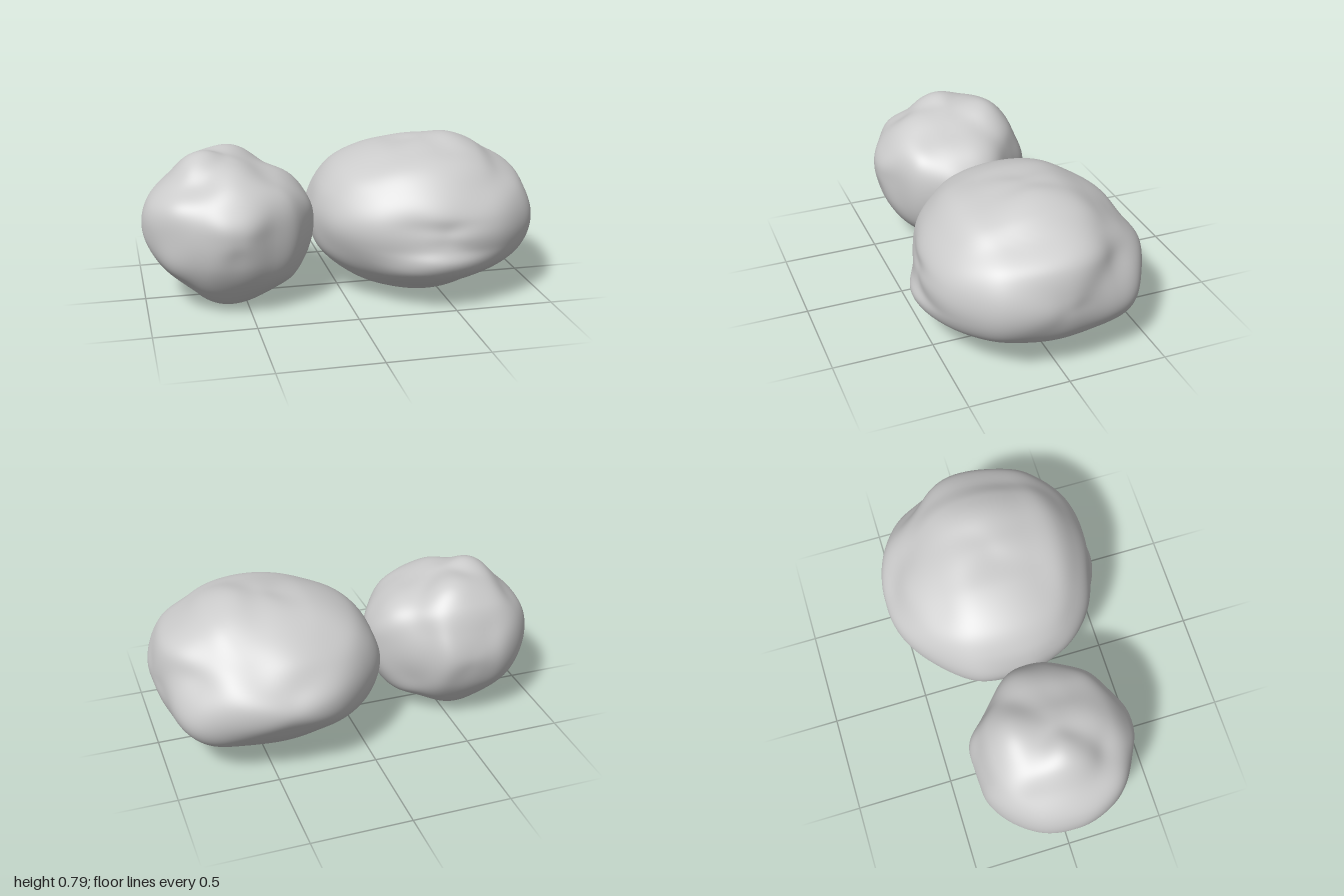
import * as THREE from 'three';
import { mergeVertices } from 'three/addons/utils/BufferGeometryUtils.js';

const STEPS = 180;

// Closed outline -> function giving its radius (relative to the ellipsoid) at any angle.
function radiusByAngle(points, cu, cv, ru, rv) {
  const curve = new THREE.CatmullRomCurve3(
    points.map(([u, v]) => new THREE.Vector3((u - cu) / ru, (v - cv) / rv, 0)), true);
  const polar = curve.getPoints(300).slice(0, -1)
    .map(p => [Math.atan2(p.y, p.x), Math.hypot(p.x, p.y)])
    .sort((a, b) => a[0] - b[0]);
  const first = polar[0], last = polar[polar.length - 1];
  polar.unshift([last[0] - 2 * Math.PI, last[1]]);
  polar.push([first[0] + 2 * Math.PI, first[1]]);
  const table = [];
  for (let i = 0, k = 0; i <= STEPS; i++) {
    const a = -Math.PI + (i / STEPS) * 2 * Math.PI;
    while (k < polar.length - 2 && polar[k + 1][0] < a) k++;
    const [a0, r0] = polar[k], [a1, r1] = polar[k + 1];
    table.push(r0 + (r1 - r0) * (a - a0) / Math.max(a1 - a0, 1e-6));
  }
  return (u, v) => {
    const t = (Math.atan2(v, u) / (2 * Math.PI) + 0.5) * STEPS;
    const i = Math.min(Math.floor(t), STEPS - 1);
    return table[i] + (table[i + 1] - table[i]) * (t - i);
  };
}

// Weight of an outline: full in its own plane, zero at the pole facing it.
const weight = (a, b) => (a * a * b * b + 0.012) * (a * a + b * b) ** 3;

// Rocky lobe: an ellipsoid shaped by three outlines, with extra bumps and dents.
function lobe(name, { centre: c, radii: r, front, side, top, bumps }, material) {
  const fFront = radiusByAngle(front, c[0], c[1], r[0], r[1]);
  const fSide = radiusByAngle(side, c[2], c[1], r[2], r[1]);
  const fTop = radiusByAngle(top, c[0], c[2], r[0], r[2]);
  const dents = bumps.map(([x, y, z, height, width]) =>
    ({ dir: new THREE.Vector3(x, y, z).normalize(), height, width }));

  let geometry = new THREE.IcosahedronGeometry(1, 40);
  geometry.deleteAttribute('uv');
  geometry.deleteAttribute('normal');
  geometry = mergeVertices(geometry, 1e-5);
  const pos = geometry.attributes.position;
  const d = new THREE.Vector3();
  for (let i = 0; i < pos.count; i++) {
    d.fromBufferAttribute(pos, i).normalize();
    const { x, y, z } = d;
    const wF = weight(x, y), wS = weight(y, z), wT = weight(x, z);
    let s = (wF * fFront(x, y) + wS * fSide(z, y) + wT * fTop(x, z)) / (wF + wS + wT);
    for (const b of dents) s += b.height * Math.exp(-d.distanceToSquared(b.dir) / (b.width * b.width));
    pos.setXYZ(i, c[0] + x * s * r[0], c[1] + y * s * r[1], c[2] + z * s * r[2]);
  }
  geometry.computeVertexNormals();
  const mesh = new THREE.Mesh(geometry, material);
  mesh.name = name;
  return mesh;
}

const LARGE = {
  centre: [0.43, 0.4, 0], radii: [0.57, 0.4, 0.57],
  front: [[-0.145, 0.38], [-0.13, 0.49], [-0.09, 0.58], [0, 0.67], [0.2, 0.75], [0.38, 0.765], [0.57, 0.8],
    [0.7, 0.76], [0.8, 0.69], [0.94, 0.6], [0.99, 0.45], [0.99, 0.35], [0.94, 0.23], [0.85, 0.15],
    [0.7, 0.09], [0.57, 0.04], [0.4, 0.01], [0.15, 0.05], [0, 0.13], [-0.11, 0.24]],
  side: [[0.525, 0.42], [0.53, 0.5], [0.45, 0.62], [0.34, 0.72], [0.2, 0.76], [0.02, 0.785], [-0.15, 0.77],
    [-0.3, 0.7], [-0.44, 0.61], [-0.51, 0.5], [-0.565, 0.4], [-0.51, 0.28], [-0.43, 0.19], [-0.3, 0.09],
    [-0.15, 0.025], [0.05, 0.005], [0.2, 0.02], [0.35, 0.09], [0.48, 0.16], [0.55, 0.22], [0.575, 0.28],
    [0.55, 0.34]],
  top: [[-0.145, 0.02], [-0.13, -0.2], [0, -0.38], [0.2, -0.53], [0.4, -0.575], [0.65, -0.53], [0.84, -0.41],
    [0.93, -0.25], [0.97, -0.05], [1, 0.1], [0.95, 0.3], [0.85, 0.42], [0.7, 0.52], [0.5, 0.56],
    [0.3, 0.53], [0.1, 0.44], [-0.05, 0.28], [-0.12, 0.13]],
  bumps: [[0.78, -0.28, -0.56, 0.06, 0.28], [0.7, 0.35, -0.58, -0.08, 0.28], [0.25, 0.55, -0.8, -0.04, 0.25],
    [0.56, -0.62, -0.6, 0.06, 0.28], [0.75, 0.65, -0.2, 0.03, 0.25],
    [-0.42, 0.65, -0.42, 0.03, 0.4], [-0.8, 0.1, 0.5, 0.04, 0.35], [-0.25, 0.15, 0.95, -0.02, 0.25],
    [0.3, 0.6, 0.7, 0.015, 0.35], [0.3, -0.65, 0.65, -0.02, 0.35]],
};

const SMALL = {
  centre: [-0.57, 0.4, 0.03], radii: [0.43, 0.39, 0.41],
  front: [[-1, 0.4], [-0.97, 0.53], [-0.86, 0.65], [-0.76, 0.745], [-0.67, 0.77], [-0.55, 0.74],
    [-0.45, 0.71], [-0.3, 0.65], [-0.2, 0.56], [-0.145, 0.47], [-0.135, 0.37], [-0.17, 0.24], [-0.25, 0.12],
    [-0.35, 0.07], [-0.5, 0.03], [-0.62, 0.01], [-0.75, 0.04], [-0.85, 0.12], [-0.94, 0.24]],
  side: [[0.44, 0.38], [0.445, 0.47], [0.4, 0.56], [0.32, 0.65], [0.18, 0.71], [0.03, 0.74], [-0.16, 0.74],
    [-0.28, 0.66], [-0.34, 0.54], [-0.37, 0.4], [-0.34, 0.24], [-0.25, 0.12], [-0.12, 0.04], [0.03, 0.015],
    [0.2, 0.03], [0.32, 0.12], [0.41, 0.26]],
  top: [[-1, 0.05], [-0.98, -0.12], [-0.88, -0.27], [-0.75, -0.36], [-0.65, -0.375], [-0.45, -0.37],
    [-0.35, -0.28], [-0.2, -0.13], [-0.145, -0.03], [-0.14, 0.08], [-0.18, 0.18], [-0.27, 0.31], [-0.4, 0.38],
    [-0.57, 0.455], [-0.75, 0.39], [-0.87, 0.31], [-0.95, 0.2]],
  bumps: [[0.1, 0.86, -0.5, 0.05, 0.28], [-0.28, 0.95, 0.05, 0.025, 0.28],
    [-0.9, 0.25, 0.4, 0.03, 0.3], [-0.7, 0.45, 0.64, 0.05, 0.28], [-0.42, 0.72, 0.6, -0.05, 0.25],
    [0, 0.85, 0.5, 0.04, 0.28], [0.5, 0.8, 0.12, -0.03, 0.28], [0.82, 0.52, -0.25, 0.04, 0.28],
    [-0.02, -0.15, 0.98, -0.02, 0.25], [-0.55, -0.72, 0.28, -0.07, 0.28], [-0.68, -0.65, -0.28, 0.05, 0.28],
    [-0.72, -0.36, 0.62, 0.04, 0.28], [0.05, -0.85, -0.5, 0.05, 0.3], [-0.1, -0.88, 0.42, 0.025, 0.28],
    [-0.45, 0.5, -0.7, 0.03, 0.35], [0.5, -0.45, 0.65, 0.03, 0.3], [0.5, 0.4, 0.7, 0.03, 0.3],
    [-0.4, -0.5, -0.75, 0.02, 0.3]],
};

export function createModel() {
  const group = new THREE.Group();
  group.name = 'twoLobedRock';
  const material = new THREE.MeshStandardMaterial({ color: 0xcccccc });
  group.add(lobe('largeLobe', LARGE, material), lobe('smallLobe', SMALL, material));
  return group;
}
